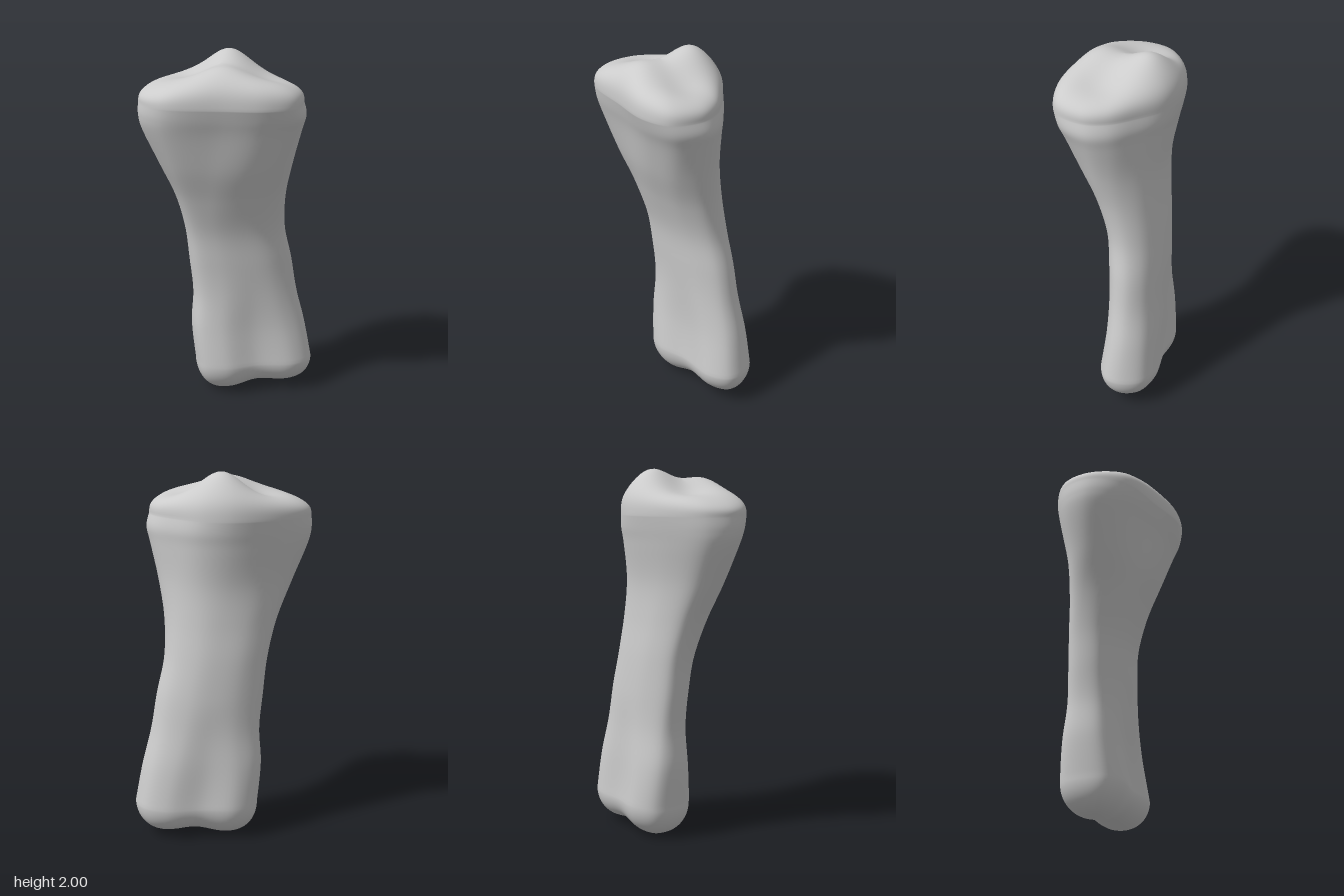
import * as THREE from 'three';

const SEGMENTS = 80, SHAFT_RINGS = 60, CAP_RINGS = 28;

// Width and depth of the bone by height: [y, xMin, xMax, zMin, zMax]
const EXTENTS = [
  [0.18, -0.18, 0.49, -0.315, 0.045],
  [0.40, -0.20, 0.45, -0.30, 0.022],
  [0.60, -0.19, 0.40, -0.282, 0.02],
  [0.80, -0.21, 0.365, -0.275, 0.03],
  [1.00, -0.235, 0.32, -0.265, 0.05],
  [1.20, -0.29, 0.312, -0.25, 0.11],
  [1.40, -0.38, 0.335, -0.25, 0.19],
  [1.60, -0.47, 0.37, -0.285, 0.26],
  [1.69, -0.492, 0.385, -0.305, 0.297],
  [1.76, -0.488, 0.368, -0.318, 0.32],
];

// Cross-section outlines in a -1..1 box, from -x round the back to +x and the front
const HEAD = [[-1, 0], [-0.9, -0.5], [-0.47, -0.87], [0.08, -1], [0.45, -0.83], [0.75, -0.4],
  [0.95, 0], [1, 0.4], [0.82, 0.88], [0.45, 1], [-0.1, 0.82], [-0.77, 0.53]];
const SHAFT = [[-1, -0.2], [-0.92, -0.6], [-0.5, -0.95], [0, -1], [0.45, -0.85], [0.85, -0.4],
  [1, 0.15], [0.92, 0.6], [0.55, 0.95], [0.05, 1], [-0.5, 0.85], [-0.9, 0.45]];
const CONDYLES = [[-1, -0.1], [-0.9, -0.7], [-0.55, -1], [0, -0.82], [0.55, -0.76], [0.88, -0.4],
  [1, 0.25], [0.92, 0.72], [0.6, 1], [0, 0.86], [-0.55, 0.95], [-0.92, 0.6]];

const bump = (x, z, cx, cz, r) => Math.exp(-((x - cx) ** 2 + (z - cz) ** 2) / (r * r));

// Upper joint surface: low dome with two peaks and two shallow hollows
const topHeight = (x, z) => 1.93 - 0.33 * x * x
  + 0.085 * bump(x, z, 0.02, -0.15, 0.14) + 0.035 * bump(x, z, -0.08, 0.14, 0.13)
  - 0.04 * bump(x, z, 0.19, 0.07, 0.14) - 0.045 * bump(x, z, -0.2, -0.09, 0.14);

// Lower joint surface: two condyles with a groove between
const bottomHeight = (x) => 0.045 * Math.exp(-(((x - 0.17) / 0.14) ** 2)) - 0.016
  + 0.025 * THREE.MathUtils.smoothstep(x, 0.1, 0.4);

const columns = [1, 2, 3, 4].map((c) =>
  new THREE.SplineCurve(EXTENTS.map((row) => new THREE.Vector2(row[0], row[c]))));

// One smooth cross-section at t along the shaft, with its centre
function section(t) {
  const samples = columns.map((curve) => curve.getPoint(t));
  const y = samples[0].x;
  const [x0, x1, z0, z1] = samples.map((v) => v.y);
  const toHead = THREE.MathUtils.smoothstep(y, 1.05, 1.72);
  const toFoot = 1 - THREE.MathUtils.smoothstep(y, 0.2, 0.8);
  const cx = (x0 + x1) / 2, cz = (z0 + z1) / 2;
  const control = SHAFT.map(([u, v], i) => {
    const mix = (k, s) => s + (HEAD[i][k] - s) * toHead + (CONDYLES[i][k] - s) * toFoot;
    return new THREE.Vector3(cx + mix(0, u) * (x1 - x0) / 2, y, cz + mix(1, v) * (z1 - z0) / 2);
  });
  const loop = new THREE.CatmullRomCurve3(control, true, 'centripetal');
  const points = Array.from({ length: SEGMENTS }, (_, i) => loop.getPoint(i / SEGMENTS));
  return { points, cx, cz, y };
}

// Shrinks a section towards its centre and sets each point's height
function capRing({ points, cx, cz, y }, sx, sz, rise, height) {
  return points.map((p) => {
    const x = cx + (p.x - cx) * sx, z = cz + (p.z - cz) * sz;
    return new THREE.Vector3(x, y + (height(x, z) - y) * rise, z);
  });
}

// Skins a stack of closed rings, lowest first
function loft(rings) {
  const positions = rings.flat().flatMap((p) => [p.x, p.y, p.z]);
  const index = [];
  for (let r = 0; r < rings.length - 1; r++) {
    for (let i = 0; i < SEGMENTS; i++) {
      const next = (i + 1) % SEGMENTS;
      const a = r * SEGMENTS + i, b = r * SEGMENTS + next;
      const c = a + SEGMENTS, d = b + SEGMENTS;
      index.push(a, c, b, b, c, d);
    }
  }
  const geometry = new THREE.BufferGeometry();
  geometry.setAttribute('position', new THREE.Float32BufferAttribute(positions, 3));
  geometry.setIndex(index);
  geometry.computeVertexNormals();
  return geometry;
}

export function createModel() {
  const rings = [];

  // Rounded lower end, from its middle outwards
  const foot = section(0);
  for (let k = 0; k < CAP_RINGS; k++) {
    const s = Math.max(0.002, Math.sin((k / CAP_RINGS) * Math.PI / 2));
    rings.push(capRing(foot, s, s * s, Math.sqrt(1 - s ** 4), bottomHeight));
  }

  // Shaft
  for (let k = 0; k <= SHAFT_RINGS; k++) rings.push(section(k / SHAFT_RINGS).points);

  // Upper end, from its rim inwards
  const head = section(1);
  for (let k = 1; k <= CAP_RINGS; k++) {
    const s = Math.max(0.002, 1 - (k / CAP_RINGS) ** 2.5);
    rings.push(capRing(head, s, s, Math.cbrt(1 - s ** 3), topHeight));
  }

  const bone = new THREE.Mesh(loft(rings), new THREE.MeshStandardMaterial({ color: 0xcccccc }));
  bone.name = 'bone';
  const group = new THREE.Group();
  group.name = 'fingerBone';
  group.add(bone);
  return group;
}
